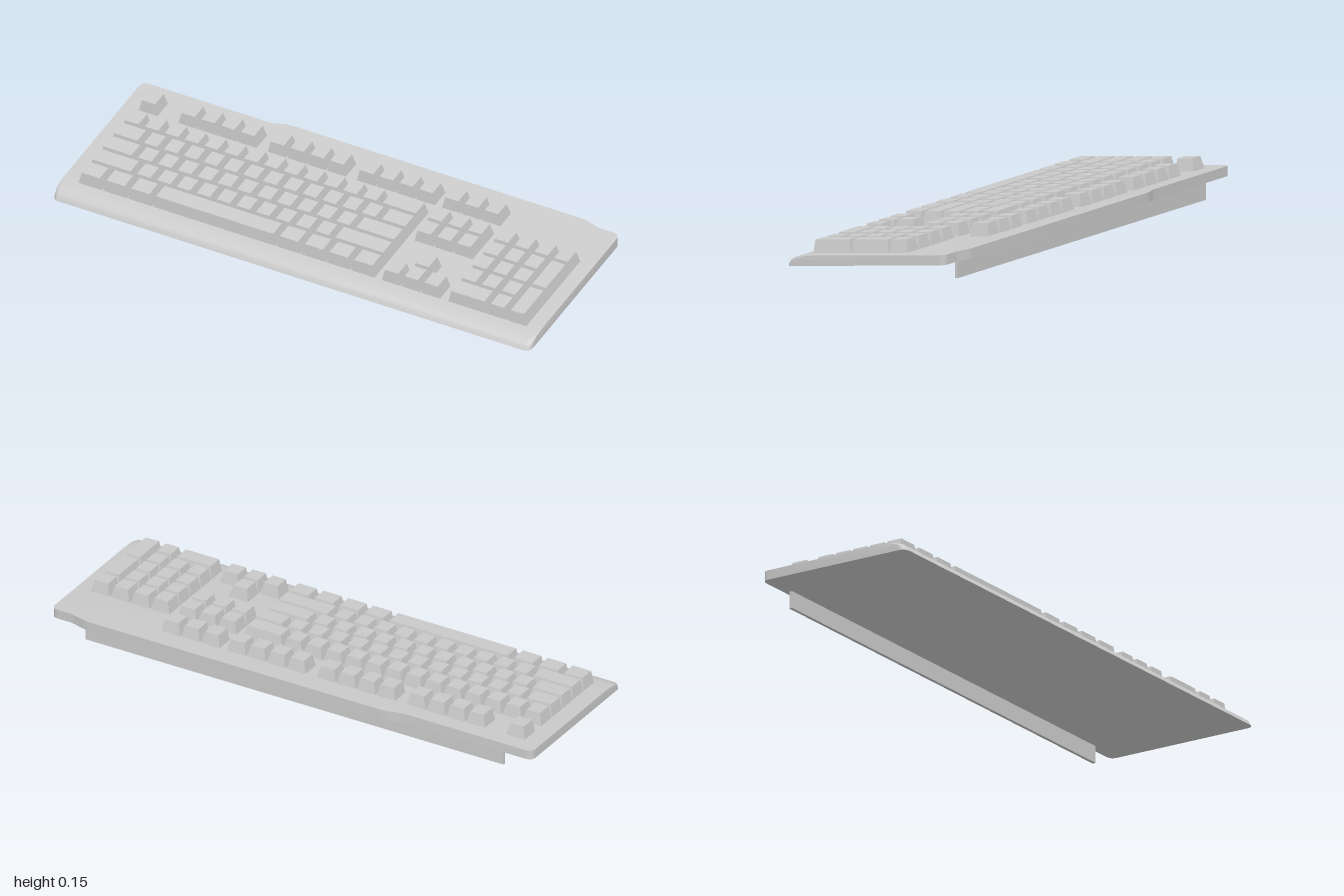
import * as THREE from 'three';
import { toCreasedNormals } from 'three/addons/utils/BufferGeometryUtils.js';

const material = new THREE.MeshStandardMaterial({ color: 0xcccccc });
const FRONT = 0.35, THICK = 0.038, U = 0.083, LEFT = -0.936;
// height of the tilted underside at a given z
const under = (z) => 0.105 * (FRONT - z);

// Case: plan outline extruded in layers, tilted, with the front edge rolled back
function makeCase() {
  const r = 0.03, s = new THREE.Shape();
  s.moveTo(-1 + r, -FRONT);
  s.lineTo(1 - r, -FRONT);
  s.quadraticCurveTo(1, -FRONT, 1, -FRONT + r);
  s.lineTo(1, 0.33 - r);
  s.quadraticCurveTo(1, 0.33, 1 - r, 0.33);
  s.lineTo(0.92, 0.33);
  s.bezierCurveTo(0.9, 0.33, 0.86, 0.35, 0.83, 0.35);
  s.lineTo(-0.38, 0.35);
  s.bezierCurveTo(-0.41, 0.35, -0.45, 0.33, -0.47, 0.33);
  s.lineTo(-1 + r, 0.33);
  s.quadraticCurveTo(-1, 0.33, -1, 0.33 - r);
  s.lineTo(-1, -FRONT + r);
  s.quadraticCurveTo(-1, -FRONT, -1 + r, -FRONT);

  // [height above underside, z of the front edge]
  const layers = [[0, 0.35], [0.012, 0.344], [0.021, 0.338], [0.029, 0.325],
    [0.034, 0.307], [0.0368, 0.285], [THICK, 0.24]];
  const steps = layers.length - 1;
  const g = new THREE.ExtrudeGeometry(s, { depth: 1, steps, bevelEnabled: false, curveSegments: 6 });
  g.rotateX(-Math.PI / 2);
  const p = g.attributes.position, pivot = 0.15;
  for (let i = 0; i < p.count; i++) {
    const [h, front] = layers[Math.round(p.getY(i) * steps)];
    let z = p.getZ(i);
    if (z > pivot) z = pivot + (z - pivot) * (front - pivot) / (FRONT - pivot);
    p.setY(i, under(z) + h);
    p.setZ(i, z);
  }
  return new THREE.Mesh(toCreasedNormals(g, 0.6), material);
}

// Keycap: box tapered at the sides and back, following the tilt of the case
function makeKey(x, z, w, d) {
  const g = new THREE.BoxGeometry(w, 1, d);
  const p = g.attributes.position;
  for (let i = 0; i < p.count; i++) {
    const top = p.getY(i) > 0;
    let kx = p.getX(i), kz = p.getZ(i);
    if (top) {
      kx -= Math.sign(kx) * 0.012;
      kz += kz > 0 ? -0.002 : 0.012;
    }
    p.setXYZ(i, x + kx, under(z + kz) + THICK + (top ? 0.048 : -0.003), z + kz);
  }
  g.computeVertexNormals();
  return new THREE.Mesh(g, material);
}

export function createModel() {
  const model = new THREE.Group();
  const body = makeCase();
  body.name = 'case';
  model.add(body);

  // Long support bar under the back
  const foot = new THREE.Mesh(new THREE.BoxGeometry(1.74, 0.074, 0.012), material);
  foot.position.set(0, 0.037, -0.301);
  foot.name = 'rearFoot';
  model.add(foot);

  const rowZ = [-0.2225, -0.0975, -0.016, 0.0655, 0.147, 0.2285];
  const ones = (n) => Array(n).fill(1);
  const groups = {};
  // Row of keys, with start and widths in key units
  function addRow(name, row, start, widths, rows = 1) {
    if (!groups[name]) {
      groups[name] = new THREE.Group();
      groups[name].name = name;
      model.add(groups[name]);
    }
    let u = start;
    const z = rowZ[row] + (rows - 1) * 0.0408, d = 0.079 + (rows - 1) * 0.0815;
    for (const w of widths) {
      const key = makeKey(LEFT + (u + w / 2) * U, z, w * U - 0.004, d);
      key.name = 'key';
      groups[name].add(key);
      u += w;
    }
  }

  // Function row
  addRow('functionKeys', 0, 0, [1]);
  for (const start of [2, 6.5, 11]) addRow('functionKeys', 0, start, ones(4));

  // Main block
  addRow('mainKeys', 1, 0, [...ones(13), 2]);
  addRow('mainKeys', 2, 0, [1.5, ...ones(12), 1.5]);
  addRow('mainKeys', 3, 0, [1.75, ...ones(11), 2.25]);
  addRow('mainKeys', 4, 0, [2.25, ...ones(10), 2.75]);
  addRow('mainKeys', 5, 0, [1.25, 1.25, 1.25, 6.25, 1.25, 1.25, 1.25, 1.25]);

  // Navigation and arrow keys
  const nav = 15.3;
  for (const row of [0, 1, 2]) addRow('navigationKeys', row, nav, ones(3));
  addRow('arrowKeys', 4, nav + 1, [1]);
  addRow('arrowKeys', 5, nav, ones(3));

  // Number pad with two double-height keys
  const pad = 18.65;
  addRow('numberPad', 1, pad, ones(4));
  for (const row of [2, 3, 4]) addRow('numberPad', row, pad, ones(3));
  addRow('numberPad', 5, pad, [2, 1]);
  for (const row of [2, 4]) addRow('numberPad', row, pad + 3, [1], 2);

  return model;
}
